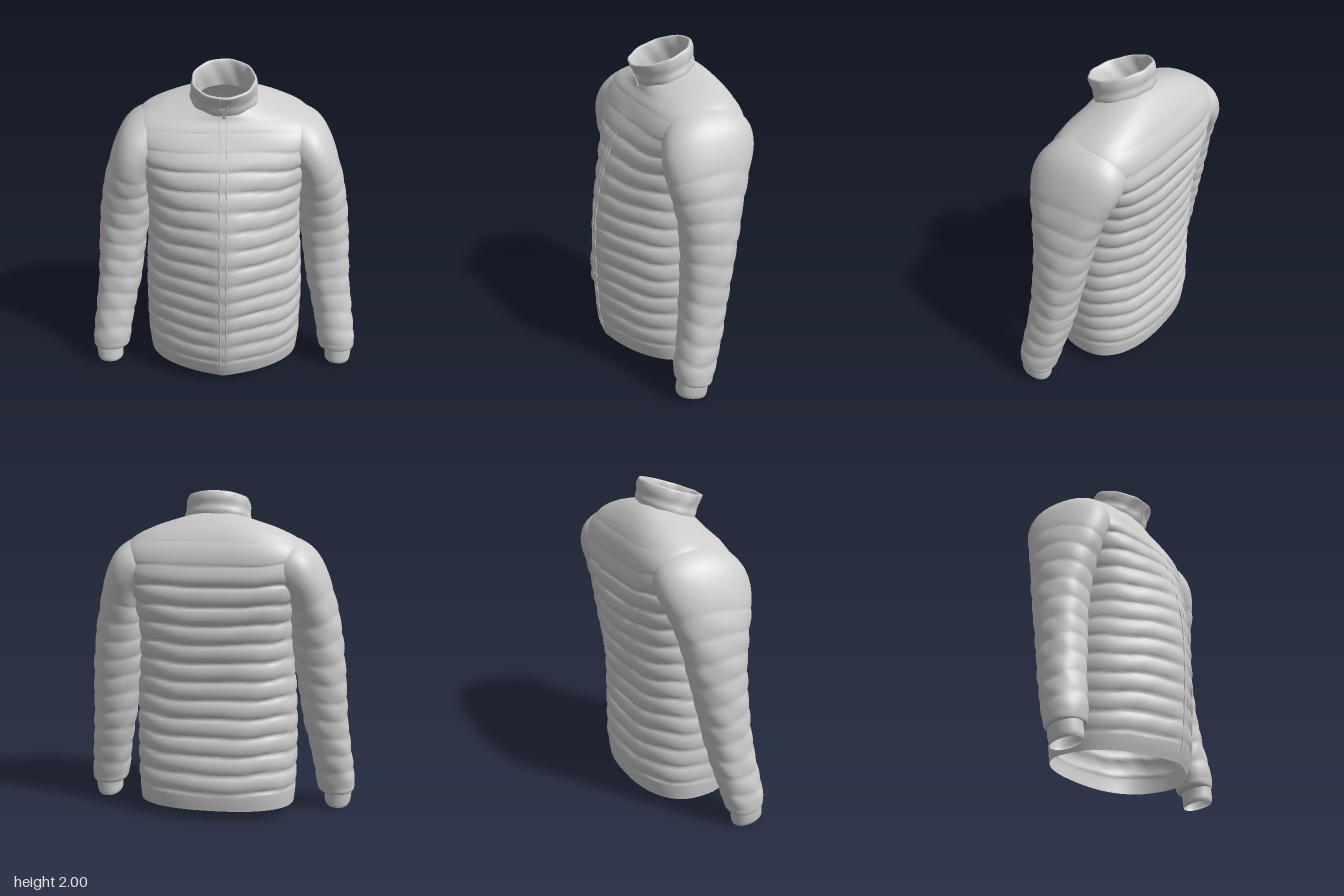
import * as THREE from 'three';

const fabric = new THREE.MeshStandardMaterial({ color: 0xcccccc, side: THREE.DoubleSide });
fabric.name = 'grey fabric';

// Smooth interpolation of all columns of a table of cross-sections, t from 0 to 1
function sample(rows, t) {
  const f = t * (rows.length - 1);
  const i = Math.min(Math.floor(f), rows.length - 2);
  const u = f - i;
  const at = k => rows[Math.max(0, Math.min(rows.length - 1, k))];
  return rows[0].map((_, c) => {
    const [a, b, d, e] = [at(i - 1)[c], at(i)[c], at(i + 1)[c], at(i + 2)[c]];
    return b + 0.5 * u * (d - a + u * (2 * a - 5 * b + 4 * d - e + u * (3 * (b - d) + e - a)));
  });
}

// Section: [y, centreX, halfWidth, sideZ, frontZ, backZ, frontPower, backPower, tilt, roll, frontPoint]
function sectionPoint(s, angle, puff) {
  const [y, cx, hw, z0, zf, zb, nf, nb, tilt, roll, point] = s;
  const c = Math.cos(angle), sn = Math.sin(angle);
  const n = sn >= 0 ? nf : nb;
  const pow = v => Math.sign(v) * Math.pow(Math.abs(v), 2 / n);
  const across = pow(c);
  const depth = sn >= 0 ? (zf - z0) * (1 - point * Math.abs(across)) : z0 - zb;
  const d = puff ? puff(y, angle, cx + hw * across) : 0;
  const w = hw * across + c * d;
  const z = z0 + depth * pow(sn);
  return new THREE.Vector3(cx + w * Math.cos(roll), y + w * Math.sin(roll) - tilt * (z - z0), z + sn * d);
}

// Open tube lofted through the sections
function loft(rows, steps, around, puff, side = 1) {
  const pos = [], index = [];
  for (let j = 0; j <= steps; j++) {
    const s = sample(rows, j / steps);
    for (let i = 0; i < around; i++) {
      const p = sectionPoint(s, (i / around) * Math.PI * 2, puff);
      pos.push(p.x * side, p.y, p.z);
      if (j === steps) continue;
      const a = j * around + i, b = j * around + (i + 1) % around;
      const c = a + around, d = b + around;
      if (side > 0) index.push(a, c, b, b, c, d);
      else index.push(a, b, c, b, d, c);
    }
  }
  const g = new THREE.BufferGeometry();
  g.setAttribute('position', new THREE.Float32BufferAttribute(pos, 3));
  g.setIndex(index);
  g.computeVertexNormals();
  return g;
}

// Rounded padding between stitched seams
function quilt(y, start, pitch, amp) {
  return amp * (Math.sqrt(Math.abs(Math.sin(Math.PI * (y - start) / pitch))) - 0.65);
}
const ramp = THREE.MathUtils.smoothstep;

// y, half width, front z, back z, front power, back power, tilt, front point
const torsoRows = [
  [0.065, 0.487, 0.365, -0.365, 2.5, 2.4, 0, 0.27],
  [0.18, 0.497, 0.4, -0.378, 2.6, 2.4, 0, 0.28],
  [0.4, 0.5, 0.42, -0.375, 2.7, 2.4, 0, 0.3],
  [0.6, 0.5, 0.428, -0.368, 2.7, 2.5, 0, 0.3],
  [0.8, 0.49, 0.428, -0.37, 2.7, 2.6, 0, 0.3],
  [1.0, 0.475, 0.412, -0.382, 2.8, 2.8, 0, 0.29],
  [1.2, 0.475, 0.37, -0.4, 2.9, 3.1, 0, 0.24],
  [1.38, 0.505, 0.31, -0.414, 3.1, 3.8, 0, 0.18],
  [1.52, 0.545, 0.245, -0.415, 3.2, 4.2, 0.02, 0.08],
  [1.62, 0.555, 0.19, -0.398, 3.1, 3.9, 0.06, 0],
  [1.7, 0.51, 0.15, -0.352, 2.8, 3.1, 0.13, 0],
  [1.755, 0.4, 0.12, -0.3, 2.4, 2.6, 0.22, 0],
  [1.79, 0.29, 0.11, -0.255, 2.2, 2.3, 0.29, 0],
  [1.82, 0.195, 0.1, -0.21, 2, 2, 0.33, 0],
].map(([y, w, f, b, nf, nb, t, p]) => [y, 0, w, -0.06, f, b, nf, nb, t, 0, p]);

function torsoPuff(y, a, x) {
  const sag = y + 0.008 * Math.sin(3 * a) + 0.005 * Math.sin(7 * a + y * 5);
  const fade = ramp(y, 0.15, 0.2) * (1 - 0.85 * ramp(y, 1.46, 1.6)) * (1 - ramp(y, 1.68, 1.76));
  const nearZip = Math.sin(a) > 0 ? 0.25 + 0.75 * ramp(Math.abs(x), 0.02, 0.1) : 1.15;
  const wrinkle = 0.002 * Math.sin(11 * a + 9 * y) * Math.sin(23 * y + 5 * a);
  const sides = 1 - 0.5 * Math.pow(Math.cos(a), 8);
  return fade * (nearZip * sides * quilt(sag, 0.18, 0.115, 0.022) + wrinkle);
}

// inner x, inner y, outer x, outer y, front z, back z, tilt, back power
const toSleeve = ([xi, yi, xo, yo, f, b, t, nb]) => [
  (yi + yo) / 2, (xi + xo) / 2, Math.hypot(xo - xi, yo - yi) / 2, (f + b) / 2, f, b,
  2.2, nb, t, Math.atan2(yo - yi, xo - xi), 0];
// The sleeve bends inwards over the shoulder and ends inside the yoke
const sleeveRows = [
  [0.68, 0.11, 0.84, 0.11, 0.175, 0.005, -0.2, 2.2],
  [0.635, 0.125, 0.862, 0.125, 0.19, -0.03, -0.2, 2.2],
  [0.62, 0.2, 0.86, 0.2, 0.19, -0.05, -0.2, 2.2],
  [0.585, 0.4, 0.837, 0.4, 0.155, -0.105, -0.2, 2.2],
  [0.54, 0.6, 0.815, 0.6, 0.13, -0.15, -0.18, 2.2],
  [0.51, 0.8, 0.803, 0.8, 0.115, -0.19, -0.15, 2.2],
  [0.48, 0.98, 0.787, 1.0, 0.115, -0.23, -0.1, 2.2],
  [0.46, 1.15, 0.76, 1.2, 0.14, -0.27, -0.06, 2.2],
  [0.45, 1.28, 0.718, 1.38, 0.175, -0.32, -0.02, 2.2],
  [0.43, 1.36, 0.672, 1.525, 0.19, -0.365, 0, 2.2],
  [0.39, 1.41, 0.615, 1.63, 0.178, -0.38, 0, 2.3],
  [0.34, 1.43, 0.54, 1.695, 0.15, -0.372, 0, 2.3],
  [0.29, 1.44, 0.44, 1.735, 0.11, -0.33, 0, 2.2],
  [0.22, 1.44, 0.32, 1.755, 0.06, -0.27, 0, 2.2],
].map(toSleeve);
const cuffRows = [
  [0.685, 0.02, 0.83, 0.02, 0.185, 0.005, -0.2, 2.2],
  [0.675, 0.04, 0.84, 0.04, 0.19, 0, -0.2, 2.2],
  [0.675, 0.09, 0.845, 0.09, 0.185, -0.005, -0.2, 2.2],
  [0.67, 0.14, 0.845, 0.14, 0.18, -0.01, -0.2, 2.2],
].map(toSleeve);

function sleevePuff(y, a) {
  const sag = y + 0.014 * Math.sin(2 * a + 4 * y);
  const fade = ramp(y, 0.13, 0.2) * (1 - ramp(y, 1.25, 1.45));
  return fade * (quilt(sag, 0.14, 0.12, 0.009) + 0.003 * Math.sin(5 * a + 13 * y) * Math.sin(19 * y));
}

// Stand collar: up the outside, over the rim and down the lining
const collarRows = [
  [1.79, 0.2, -0.05, 0.105, -0.22],
  [1.825, 0.204, -0.045, 0.12, -0.226],
  [1.86, 0.196, -0.04, 0.13, -0.218],
  [1.9, 0.198, -0.03, 0.15, -0.22],
  [1.934, 0.192, -0.02, 0.168, -0.208],
  [1.936, 0.178, -0.02, 0.152, -0.192],
  [1.9, 0.17, -0.025, 0.13, -0.185],
  [1.85, 0.168, -0.035, 0.11, -0.185],
  [1.79, 0.172, -0.045, 0.09, -0.19],
].map(([y, w, z0, f, b]) => [y, 0, w, z0, f, b, 2, 2, 0.33, 0, 0]);

export function createModel() {
  const model = new THREE.Group();
  model.name = 'quiltedJacket';
  const add = (name, geometry, parent = model) => {
    const mesh = new THREE.Mesh(geometry, fabric);
    mesh.name = name;
    parent.add(mesh);
    return mesh;
  };

  add('torso', loft(torsoRows, 200, 96, torsoPuff));
  add('collar', loft(collarRows, 48, 64, (y, a) => 0.003 * Math.sin(9 * a + 30 * y)));

  for (const [name, side] of [['left', 1], ['right', -1]]) {
    add(name + 'Sleeve', loft(sleeveRows, 160, 48, sleevePuff, side));
    add(name + 'Cuff', loft(cuffRows, 12, 40, null, side));
  }

  // Zip edges running up the front and over the collar
  const zip = new THREE.Group();
  zip.name = 'zip';
  model.add(zip);
  const path = [];
  for (let i = 0; i <= 30; i++) path.push(sectionPoint(sample(torsoRows, 0.05 + 0.9 * i / 30), Math.PI / 2));
  for (let i = 1; i <= 3; i++) path.push(sectionPoint(sample(collarRows, 0.16 * i), Math.PI / 2));
  for (const side of [-1, 1]) {
    const edge = new THREE.CatmullRomCurve3(path.map(p => new THREE.Vector3(side * 0.02, p.y, p.z - 0.005)));
    add('zipEdge', new THREE.TubeGeometry(edge, 120, 0.006, 6), zip);
  }
  const pull = add('zipPull', new THREE.BoxGeometry(0.022, 0.07, 0.008), zip);
  pull.position.copy(path[path.length - 3]).add(new THREE.Vector3(0, -0.01, 0.008));
  pull.rotation.x = 0.3;
  return model;
}
